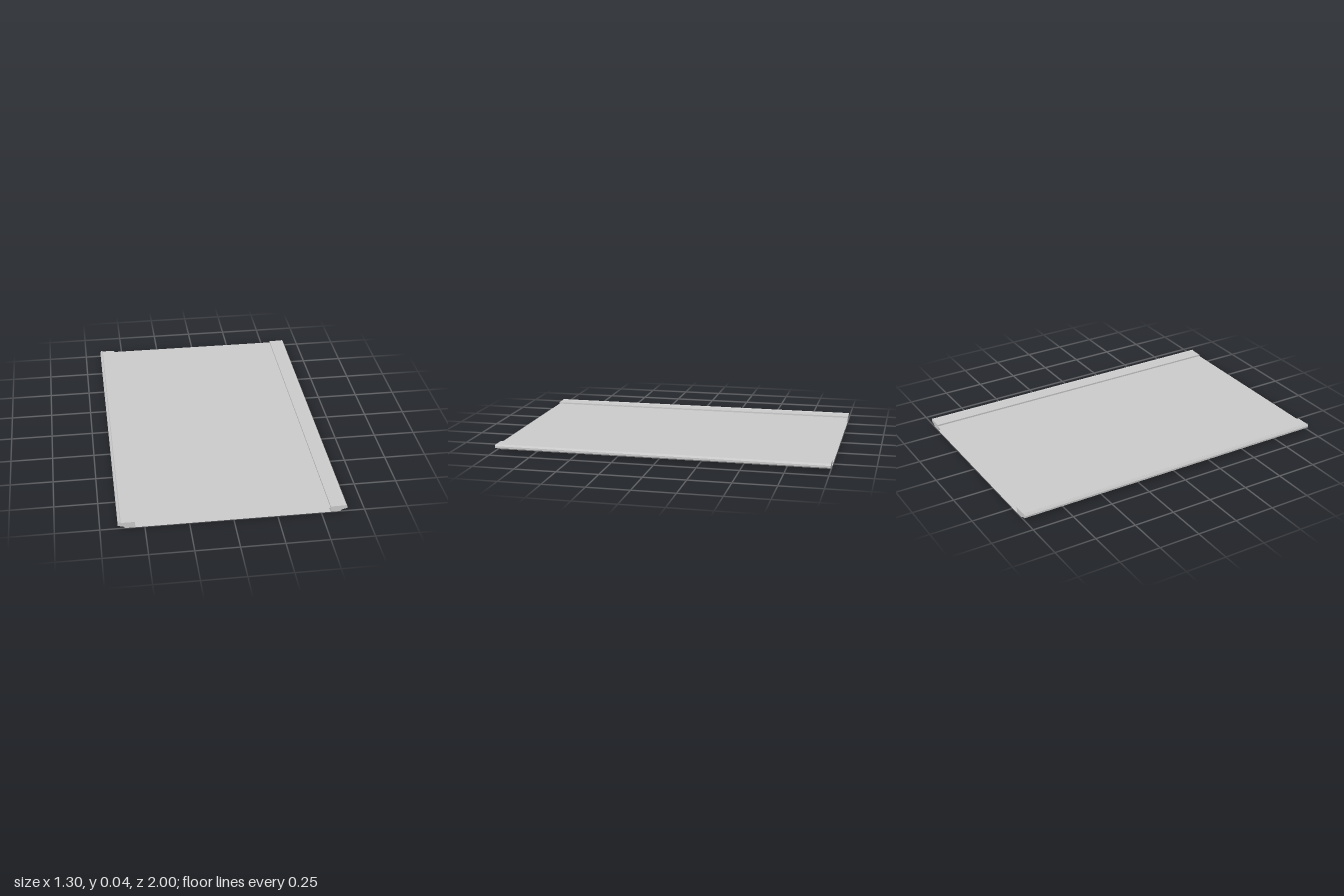
import * as THREE from 'three';

const LENGTH = 2;
const INNER = 0.553; // half width between the rails

export function createModel() {
  const group = new THREE.Group();
  const material = new THREE.MeshStandardMaterial({ color: 0xcccccc, flatShading: true });
  const sheetMaterial = new THREE.MeshStandardMaterial({ color: 0xcccccc, side: THREE.DoubleSide });

  // Edge rail section: flat base, undercut lip and small raised outer bead
  const section = [
    [INNER, 0], [0.607, 0], [0.622, 0.012], [0.65, 0.018],
    [0.65, 0.029], [0.643, 0.04], [0.638, 0.04], [0.632, 0.037], [INNER, 0.037],
  ];
  for (const [name, side] of [['leftRail', 1], ['rightRail', -1]]) {
    const shape = new THREE.Shape(section.map(([x, y]) => new THREE.Vector2(side * x, y)));
    const geometry = new THREE.ExtrudeGeometry(shape, { depth: LENGTH, bevelEnabled: false });
    geometry.translate(0, 0, -LENGTH / 2);
    const rail = new THREE.Mesh(geometry, material);
    rail.name = name;
    group.add(rail);
  }

  // Two thin sheets between the rails, open at both ends
  for (const [name, y, tilt] of [['topSheet', 0.027, -1], ['bottomSheet', 0, 1]]) {
    const geometry = new THREE.PlaneGeometry(INNER * 2, LENGTH);
    geometry.rotateX(tilt * Math.PI / 2);
    const sheet = new THREE.Mesh(geometry, sheetMaterial);
    sheet.name = name;
    sheet.position.y = y;
    group.add(sheet);
  }
  return group;
}
